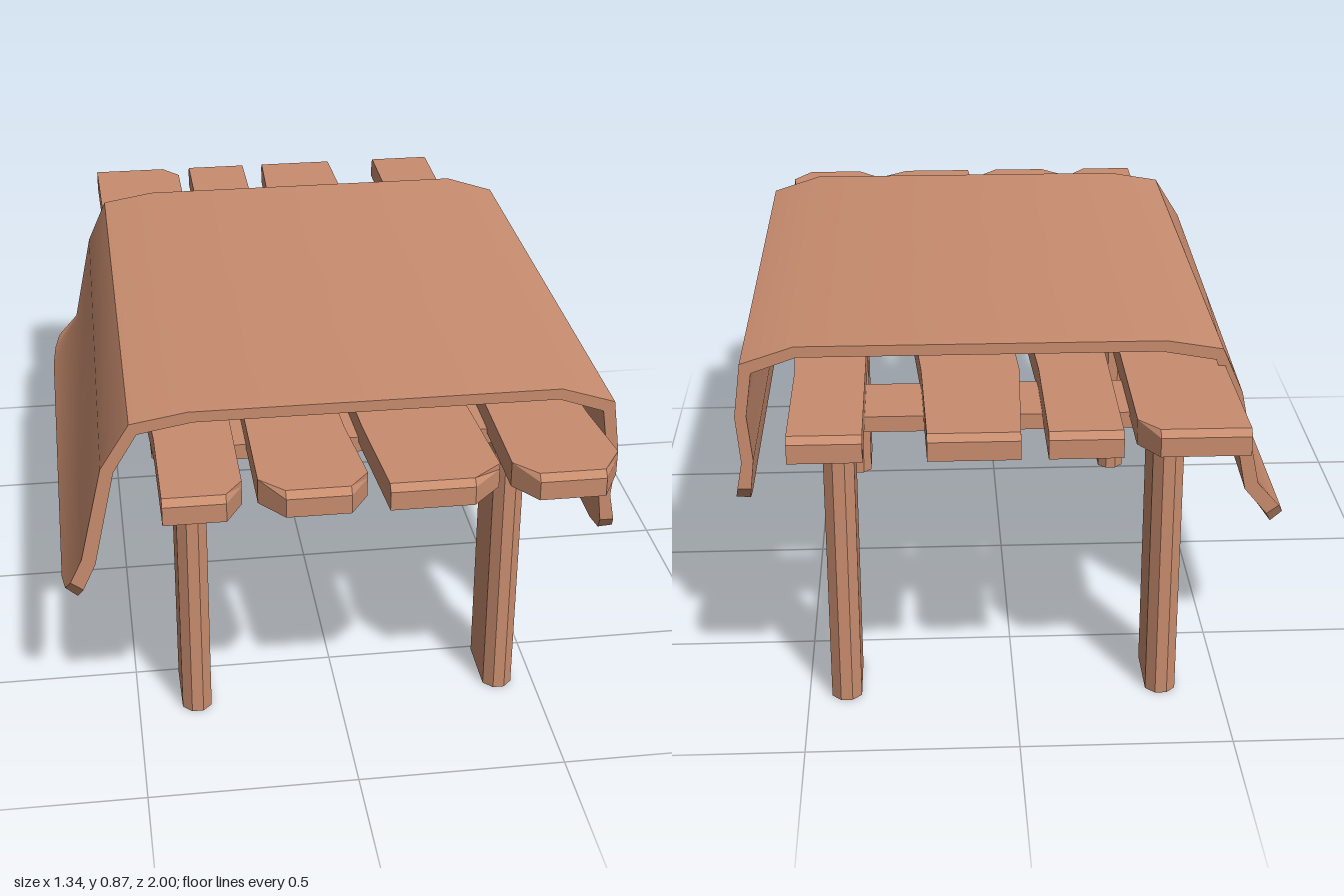
import * as THREE from 'three';
import { toCreasedNormals } from 'three/addons/utils/BufferGeometryUtils.js';

const wood = new THREE.MeshStandardMaterial({ color: 0xc98d6f });
wood.name = 'warm tan';

// Extrudes a plan outline [x, z] upward from y0 to y1.
function slab(outline, y0, y1, steps = 1) {
  const shape = new THREE.Shape(outline.map(([x, z]) => new THREE.Vector2(x, -z)));
  const geo = new THREE.ExtrudeGeometry(shape, { depth: y1 - y0, steps, bevelEnabled: false });
  return geo.rotateX(-Math.PI / 2).translate(0, y0, 0);
}

// Plank with a small slope along the top of both ends.
function plankGeometry(outline) {
  const geo = slab(outline, 0.74, 0.8, 4);
  const p = geo.attributes.position;
  for (let i = 0; i < p.count; i++) {
    const z = p.getZ(i);
    if (p.getY(i) > 0.799 && Math.abs(z) > 0.97) p.setZ(i, z - Math.sign(z) * 0.015);
  }
  geo.computeVertexNormals();
  return geo;
}

// Thick draped sheet: outer and inner profiles swept along z, hem corners rounded.
function clothGeometry() {
  const outer = [[-0.67, 0.385], [-0.62, 0.49], [-0.565, 0.73], [-0.495, 0.842], [-0.36, 0.865],
    [0.51, 0.865], [0.638, 0.823], [0.656, 0.69], [0.646, 0.57], [0.668, 0.452]];
  const inner = [[-0.642, 0.358], [-0.588, 0.475], [-0.535, 0.72], [-0.478, 0.815], [-0.35, 0.838],
    [0.505, 0.838], [0.612, 0.8], [0.628, 0.69], [0.617, 0.575], [0.632, 0.448]];
  // z, corner lift
  const sections = [[0.72, 0.42], [0.695, 0.15], [0.62, 0], [0.05, 0], [-0.53, 0], [-0.605, 0.15], [-0.63, 0.42]];
  const n = outer.length, ring = 2 * n, pos = [], idx = [];
  const quad = (a, b, c, d) => idx.push(a, b, c, a, c, d);

  for (const [z, lift] of sections) {
    const back = (0.72 - z) / 1.35;
    const profile = (pts) => pts.map(([x, y], i) => {
      const next = i === 0 ? pts[1] : i === n - 1 ? pts[n - 2] : [x, y];
      const shift = i === 1 ? 0.025 * back : i === 2 ? 0.02 * back : 0;
      return [x + (next[0] - x) * lift + shift, y + (next[1] - y) * lift, z];
    });
    for (const v of [...profile(outer), ...profile(inner).reverse()]) pos.push(...v);
  }
  for (let k = 0; k < sections.length - 1; k++) {
    for (let i = 0; i < ring; i++) {
      const j = (i + 1) % ring;
      quad(k * ring + i, k * ring + j, (k + 1) * ring + j, (k + 1) * ring + i);
    }
  }
  const last = (sections.length - 1) * ring;
  for (let i = 0; i < n - 1; i++) {
    const a = i, b = ring - 1 - i, c = ring - 2 - i, d = i + 1;
    quad(a, b, c, d);
    quad(last + d, last + c, last + b, last + a);
  }
  const geo = new THREE.BufferGeometry();
  geo.setAttribute('position', new THREE.Float32BufferAttribute(pos, 3));
  geo.setIndex(idx);
  return toCreasedNormals(geo, 0.6);
}

export function createModel() {
  const model = new THREE.Group();
  model.name = 'table';
  const add = (geo, name) => {
    const mesh = new THREE.Mesh(geo, wood);
    mesh.name = name;
    model.add(mesh);
  };

  // Four uneven top planks
  const planks = [
    [[-0.505, -1], [-0.5, -0.63], [-0.44, 0.72], [-0.44, 1], [-0.3, 1], [-0.26, 0.93], [-0.26, -0.93], [-0.305, -1]],
    [[-0.225, -1], [-0.225, 0.93], [-0.17, 1], [-0.025, 1], [0.02, 0.93], [0, 0.72], [-0.06, -0.63], [-0.06, -1]],
    [[0, -1], [-0.015, -0.63], [0.04, 0.72], [0.06, 1], [0.25, 1], [0.318, 0.93], [0.305, 0.72], [0.215, -0.63], [0.205, -1]],
    [[0.345, -1], [0.345, 0.93], [0.395, 1], [0.545, 1], [0.593, 0.91], [0.572, 0.72], [0.51, -0.63], [0.51, -1]],
  ];
  planks.forEach((outline, i) => add(plankGeometry(outline), `plank${i + 1}`));

  // Chamfered legs and the rail joining each pair
  for (const [end, zc] of [['front', 0.587], ['back', -0.685]]) {
    for (const [side, xc] of [['Right', -0.356], ['Left', 0.409]]) {
      const w = 0.036, d = 0.096, c = 0.022;
      const section = [[-w, -d + c], [-w, d - c], [-w + c, d], [w - c, d], [w, d - c], [w, -d + c], [w - c, -d], [-w + c, -d]];
      add(slab(section.map(([x, z]) => [x + xc, z + zc]), 0, 0.742), `${end}${side}Leg`);
    }
    const rail = new THREE.BoxGeometry(0.72, 0.038, 0.19);
    add(rail.translate(0.026, 0.732, zc), `${end}Rail`);
  }

  add(clothGeometry(), 'tablecloth');
  return model;
}
